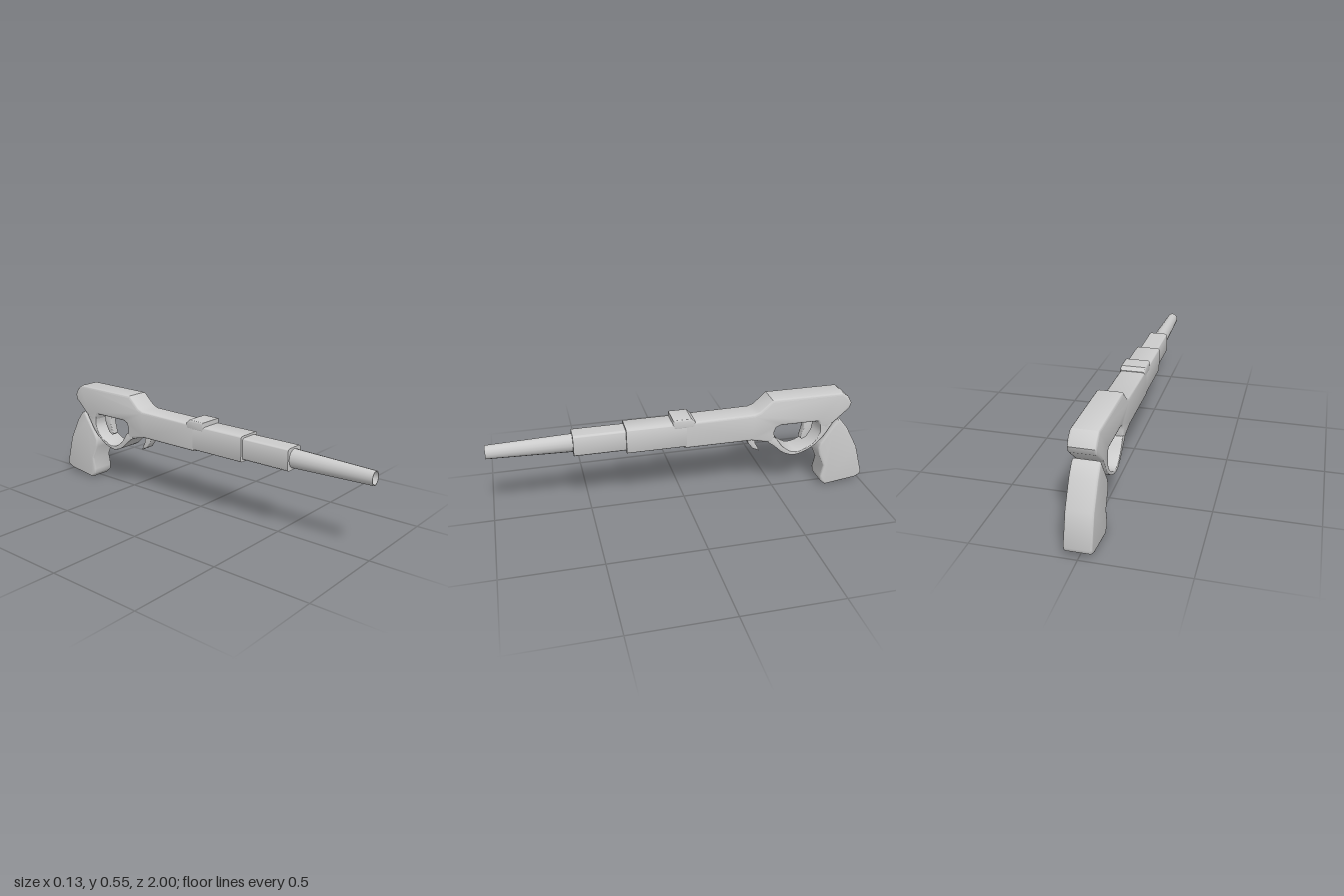
import * as THREE from 'three';
import { toCreasedNormals } from 'three/addons/utils/BufferGeometryUtils.js';

export function createModel() {
  const group = new THREE.Group();
  const material = new THREE.MeshStandardMaterial({ color: 0xcccccc });

  function add(name, geometry, crease = 0.7) {
    const mesh = new THREE.Mesh(toCreasedNormals(geometry, crease), material);
    mesh.name = name;
    group.add(mesh);
  }

  const toPoints = (list) => list.map(([z, y]) => new THREE.Vector2(z, y));

  // Side outline in (z, y), extruded across x with rounded edges
  function sidePart(name, outline, width, bevel) {
    const geometry = new THREE.ExtrudeGeometry(new THREE.Shape(outline), {
      depth: width - 2 * bevel, bevelEnabled: true, bevelSize: bevel,
      bevelThickness: bevel, bevelOffset: -bevel, bevelSegments: 3,
    });
    geometry.translate(0, 0, -width / 2 + bevel);
    geometry.rotateY(-Math.PI / 2);
    add(name, geometry);
  }

  // Rounded rectangle section extruded along z
  function sleeve(name, halfW, y0, y1, z0, z1, r) {
    const s = new THREE.Shape();
    s.moveTo(halfW - r, y0);
    s.absarc(halfW - r, y0 + r, r, -Math.PI / 2, 0);
    s.absarc(halfW - r, y1 - r, r, 0, Math.PI / 2);
    s.absarc(-halfW + r, y1 - r, r, Math.PI / 2, Math.PI);
    s.absarc(-halfW + r, y0 + r, r, Math.PI, Math.PI * 1.5);
    const geometry = new THREE.ExtrudeGeometry(s, { depth: z1 - z0, bevelEnabled: false, curveSegments: 4 });
    geometry.translate(0, 0, z0);
    add(name, geometry);
  }

  // Receiver with raised rear housing
  sidePart('receiver', toPoints([
    [0.01, 0.326], [0.01, 0.468], [-0.36, 0.473], [-0.39, 0.485], [-0.455, 0.545],
    [-0.845, 0.545], [-0.88, 0.518], [-0.898, 0.485], [-0.89, 0.455], [-0.80, 0.375],
    [-0.765, 0.35], [-0.733, 0.36], [-0.715, 0.395], [-0.51, 0.396], [-0.483, 0.385],
    [-0.474, 0.36], [-0.478, 0.325], [-0.465, 0.30], [-0.44, 0.305], [-0.35, 0.326],
  ]), 0.13, 0.012);

  // Trigger guard: a thin curved band
  const outer = new THREE.CatmullRomCurve3([
    [-0.44, 0.305], [-0.48, 0.275], [-0.525, 0.235], [-0.59, 0.212],
    [-0.67, 0.235], [-0.74, 0.29], [-0.80, 0.38],
  ].map(([z, y]) => new THREE.Vector3(z, y, 0)));
  const inner = new THREE.CatmullRomCurve3([
    [-0.728, 0.385], [-0.732, 0.325], [-0.685, 0.262], [-0.595, 0.23],
    [-0.53, 0.265], [-0.477, 0.33], [-0.45, 0.33],
  ].map(([z, y]) => new THREE.Vector3(z, y, 0)));
  sidePart('triggerGuard', [...outer.getPoints(24), ...inner.getPoints(24)]
    .map((p) => new THREE.Vector2(p.x, p.y)), 0.129, 0.003);

  // Pistol grip
  sidePart('grip', toPoints([
    [-0.83, 0.395], [-0.85, 0.385], [-0.89, 0.335], [-0.955, 0.215], [-1, 0.055],
    [-0.992, 0.035], [-0.965, 0.022], [-0.79, 0], [-0.762, 0.025], [-0.757, 0.055],
    [-0.77, 0.12], [-0.737, 0.195], [-0.732, 0.235], [-0.742, 0.265], [-0.80, 0.35],
  ]), 0.13, 0.01);

  // Trigger and the hook ahead of the guard
  sidePart('trigger', toPoints([
    [-0.65, 0.41], [-0.655, 0.35], [-0.64, 0.285], [-0.65, 0.277],
    [-0.675, 0.29], [-0.70, 0.335], [-0.712, 0.41],
  ]), 0.04, 0.005);
  sidePart('frontHook', toPoints([
    [-0.33, 0.335], [-0.345, 0.29], [-0.37, 0.258], [-0.405, 0.24],
    [-0.402, 0.255], [-0.385, 0.285], [-0.38, 0.335],
  ]), 0.05, 0.005);

  // Raised sight block
  sidePart('sightBlock', toPoints([
    [0.07, 0.44], [0.07, 0.49], [-0.025, 0.49], [-0.045, 0.472], [-0.045, 0.44],
  ]), 0.1305, 0.008);

  // Stepped sleeves
  sleeve('frontHousing', 0.0645, 0.333, 0.466, -0.005, 0.31, 0.012);
  sleeve('barrelSleeve', 0.052, 0.343, 0.455, 0.29, 0.575, 0.014);

  // Tapered hollow barrel, slightly taller than wide
  const barrel = new THREE.LatheGeometry(toPoints([
    [0.041, 0.56], [0.03, 1], [0.0265, 1], [0.0265, 0.8], [0, 0.8],
  ]), 16);
  barrel.rotateX(Math.PI / 2);
  // The axis flips y only, so the section stays symmetric
  barrel.scale(1, 1.18, 1);
  barrel.translate(0, 0.399, 0);
  add('barrel', barrel, 0.6);

  return group;
}
